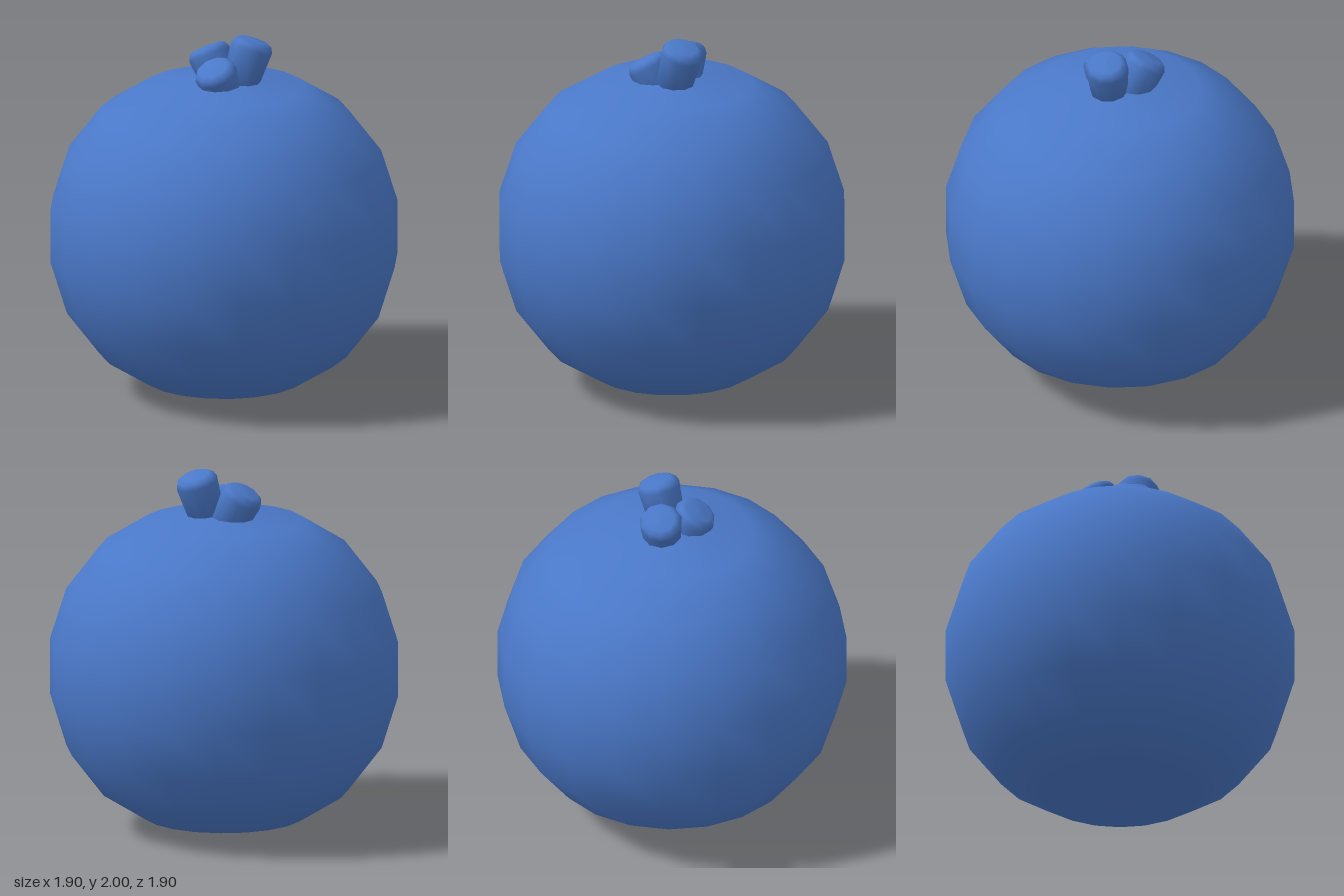
import * as THREE from 'three';

const profile = (points) => points.map(([r, y]) => new THREE.Vector2(r, y));

export function createModel() {
  const group = new THREE.Group();
  const blue = new THREE.MeshStandardMaterial({ color: 0x4a78c8 });

  // Round body, slightly flattened at both poles
  const body = new THREE.Mesh(new THREE.LatheGeometry(profile([
    [0, 0], [0.44, 0.07], [0.68, 0.22], [0.86, 0.455], [0.95, 0.745],
    [0.95, 1.045], [0.86, 1.33], [0.68, 1.565], [0.44, 1.715], [0, 1.77],
  ]), 20), blue);
  body.name = 'body';
  group.add(body);

  // Crown stubs: short bevelled cylinders with their origin at the tip
  const stubGeometry = new THREE.LatheGeometry(profile([
    [0, -0.25], [0.1, -0.25], [0.118, -0.045], [0.105, -0.015], [0.08, 0], [0, 0.005],
  ]), 10);
  const up = new THREE.Vector3(0, 1, 0);
  const stubs = [
    { name: 'backStub', tip: [0.105, 1.977, -0.125], axis: [0.13, 1, -0.3] },
    { name: 'rightStub', tip: [-0.155, 1.907, -0.01], axis: [-0.5, 1, 0.12] },
    { name: 'frontStub', tip: [0.06, 1.86, 0.135], axis: [0.04, 1, 0.55] },
  ];
  for (const { name, tip, axis } of stubs) {
    const stub = new THREE.Mesh(stubGeometry, blue);
    stub.name = name;
    stub.position.set(...tip);
    stub.quaternion.setFromUnitVectors(up, new THREE.Vector3(...axis).normalize());
    group.add(stub);
  }
  return group;
}
